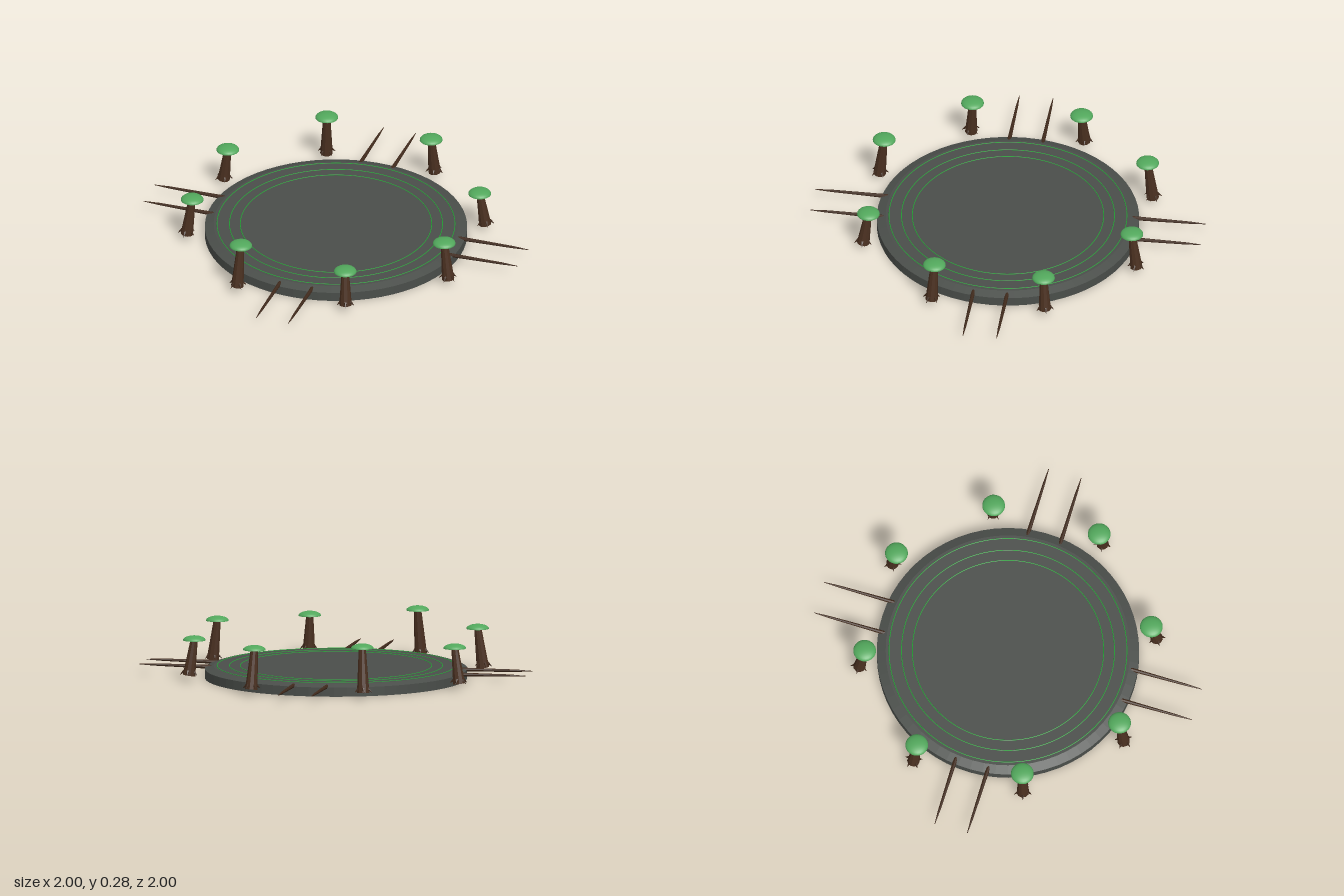
import * as THREE from 'three';

const stone = new THREE.MeshStandardMaterial({ name: 'dark stone', color: 0x4a4e4a });
const ringGreen = new THREE.MeshStandardMaterial({ name: 'bright green', color: 0x27a538 });
const capGreen = new THREE.MeshStandardMaterial({ name: 'cap green', color: 0x52a85c });
const bark = new THREE.MeshStandardMaterial({ name: 'bark', color: 0x4a3020 });
const darkBark = new THREE.MeshStandardMaterial({ name: 'dark bark', color: 0x402a1c });

const UP = new THREE.Vector3(0, 1, 0);

function part(name, geometry, material, parent) {
  const mesh = new THREE.Mesh(geometry, material);
  mesh.name = name;
  parent.add(mesh);
  return mesh;
}

// Tapered rod between two points
function rod(name, from, to, r0, r1, sides, material, parent) {
  const a = new THREE.Vector3(...from), b = new THREE.Vector3(...to);
  const dir = b.clone().sub(a);
  const geo = new THREE.CylinderGeometry(r1, r0, dir.length(), sides).toNonIndexed();
  geo.computeVertexNormals();
  const mesh = part(name, geo, material, parent);
  mesh.position.copy(a).add(b).multiplyScalar(0.5);
  mesh.quaternion.setFromUnitVectors(UP, dir.normalize());
  return mesh;
}

// Closed lathe with hard edges: every profile segment gets its own points
function hardLathe(points, segments) {
  const geo = new THREE.LatheGeometry(points.map(p => new THREE.Vector2(...p)), segments).toNonIndexed();
  geo.computeVertexNormals();
  return geo;
}

// Leaning mushroom-like pillar; local +x points away from the platform
function makePillar(topY) {
  const pillar = new THREE.Group();
  pillar.name = 'pillar';
  const capY = topY - 0.024;
  rod('trunk', [0.757, 0.032, 0], [0.73, capY + 0.008, 0], 0.032, 0.018, 10, bark, pillar);

  // Small claw roots around the foot
  for (let i = 0; i < 5; i++) {
    const a = (i / 5) * Math.PI * 2 + 0.1;
    const c = Math.cos(a), s = Math.sin(a);
    rod('root', [0.757 + c * 0.024, 0.056, s * 0.024], [0.757 + c * 0.046, 0.036, s * 0.046],
      0.008, 0.0008, 5, darkBark, pillar);
  }

  // Flattened dome with a flat underside
  const dome = new THREE.SphereGeometry(0.058, 24, 8, 0, Math.PI * 2, 0, Math.PI / 2);
  dome.scale(1, 0.024 / 0.058, 1);
  part('cap', dome, capGreen, pillar).position.set(0.73, capY, 0);
  const under = new THREE.CircleGeometry(0.058, 24);
  under.rotateX(Math.PI / 2);
  part('capUnderside', under, capGreen, pillar).position.set(0.73, capY, 0);
  return pillar;
}

export function createModel() {
  const model = new THREE.Group();
  model.name = 'ringedPlatform';

  // Round platform with a bevelled rim
  part('platform', hardLathe([[0, 0], [0.665, 0], [0.665, 0.047], [0.62, 0.061], [0, 0.061]], 64), stone, model);

  // Thin inlaid rings
  for (const r of [0.485, 0.54, 0.603]) {
    const ring = part('inlaidRing', new THREE.TorusGeometry(r, 0.0022, 6, 96), ringGreen, model);
    ring.rotation.x = Math.PI / 2;
    ring.position.y = 0.0615;
  }

  // Eight pillars, clockwise from the left side, with their own heights
  const tops = [0.255, 0.235, 0.28, 0.255, 0.235, 0.28, 0.255, 0.235];
  tops.forEach((top, i) => {
    const pillar = makePillar(top);
    pillar.rotation.y = -(i + 0.5) * Math.PI / 4;
    model.add(pillar);
  });

  // Four pairs of slender spikes pointing outwards
  for (let i = 0; i < 4; i++) {
    const pair = new THREE.Group();
    pair.name = 'spikePair';
    for (const z of [-0.086, 0.086]) {
      rod('spikeShaft', [0.625, 0.048, z], [0.92, 0.051, z], 0.0105, 0.006, 8, darkBark, pair);
      rod('spikeTip', [0.92, 0.051, z], [1, 0.051, z], 0.006, 0.0015, 8, darkBark, pair);
    }
    pair.rotation.y = i * Math.PI / 2;
    model.add(pair);
  }
  return model;
}
